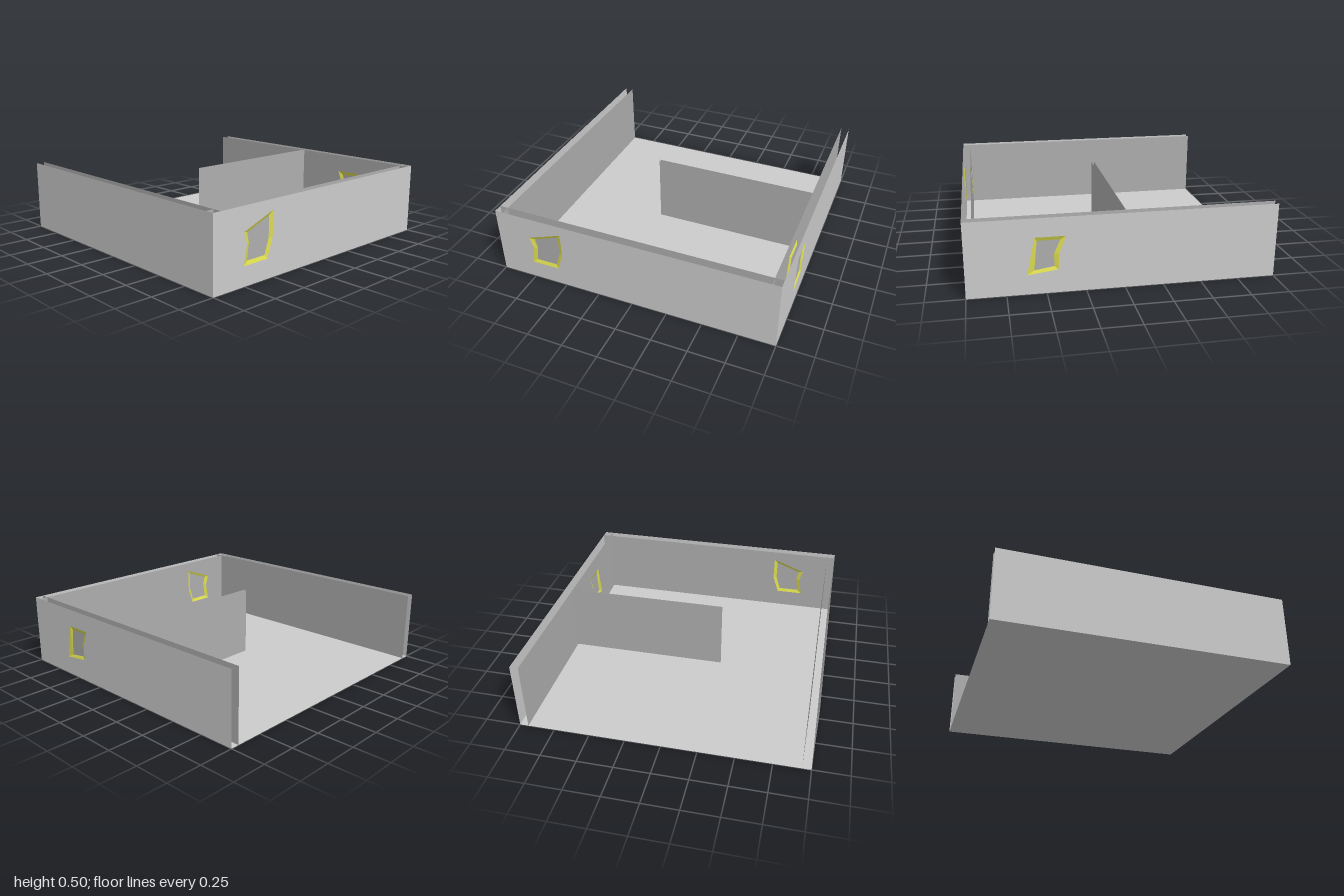
import * as THREE from 'three';

const V2 = (p) => new THREE.Vector2(p[0], p[1]);
const paint = (color) => new THREE.MeshStandardMaterial({ color, side: THREE.DoubleSide, flatShading: true });

const H = 0.5;      // wall height
const INNER = 0.94; // distance of the inner wall skin from the centre
const DEPTH = 0.01; // window recess

// Window outlines in wall coordinates (along the wall, up): rim and pane
const frontWindow = {
  rim: [[-0.755, 0.13], [-0.555, 0.13], [-0.51, 0.26], [-0.51, 0.43], [-0.755, 0.34], [-0.73, 0.26]],
  pane: [[-0.72, 0.155], [-0.57, 0.155], [-0.535, 0.26], [-0.535, 0.4], [-0.72, 0.33], [-0.705, 0.26]],
};
const sideWindow = {
  rim: [[-0.62, 0.13], [-0.425, 0.155], [-0.42, 0.26], [-0.375, 0.375], [-0.57, 0.375]],
  pane: [[-0.575, 0.155], [-0.45, 0.175], [-0.45, 0.26], [-0.41, 0.35], [-0.555, 0.35]],
};

export function createModel() {
  const model = new THREE.Group();
  const outerMat = paint(0xcccccc);
  const innerMat = paint(0xaeaeae);
  const frameMat = paint(0xdcdc50);

  const add = (parent, name, geometry, material) => {
    const mesh = new THREE.Mesh(geometry, material);
    mesh.name = name;
    parent.add(mesh);
    return mesh;
  };

  // Sloping band between the rim and the recessed pane
  const frameGeometry = ({ rim, pane }, depth) => {
    const pos = [];
    rim.forEach((a, i) => {
      const j = (i + 1) % rim.length;
      const A = [...a, 0], B = [...rim[j], 0];
      const C = [...pane[j], depth], D = [...pane[i], depth];
      const corners = depth < 0 ? [A, B, C, A, C, D] : [A, C, B, A, D, C];
      pos.push(...corners.flat());
    });
    const g = new THREE.BufferGeometry();
    g.setAttribute('position', new THREE.Float32BufferAttribute(pos, 3));
    g.computeVertexNormals();
    return g;
  };

  // One thin wall skin facing local +z, with an optional recessed window
  const wallSkin = (name, angle, distance, material, win, depth) => {
    const skin = new THREE.Group();
    skin.name = name;
    const shape = new THREE.Shape([[-1, 0], [1, 0], [1, H], [-1, H]].map(V2));
    if (win) shape.holes.push(new THREE.Path(win.rim.map(V2)));
    add(skin, name + 'Sheet', new THREE.ShapeGeometry(shape), material).position.z = distance;
    if (win) {
      add(skin, name + 'WindowFrame', frameGeometry(win, depth), frameMat).position.z = distance;
      const pane = new THREE.ShapeGeometry(new THREE.Shape(win.pane.map(V2)));
      add(skin, name + 'WindowPane', pane, innerMat).position.z = distance + depth;
    }
    skin.rotation.y = angle;
    model.add(skin);
  };

  // Floor
  const floor = add(model, 'floor', new THREE.PlaneGeometry(2, 2), outerMat);
  floor.rotation.x = -Math.PI / 2;

  // Double-skinned walls on three sides; the back is open
  const walls = [
    ['frontWall', 0, frontWindow],
    ['leftWall', Math.PI / 2, sideWindow],
    ['rightWall', -Math.PI / 2, null],
  ];
  for (const [name, angle, win] of walls) {
    wallSkin(name + 'Outer', angle, 1, outerMat, win, -DEPTH);
    wallSkin(name + 'Inner', angle, INNER, innerMat, win, DEPTH);
  }

  // Partition: two close sheets running in from the left wall
  const end = -0.225;
  for (const z of [0.01, -0.01]) {
    const sheet = add(model, 'partition', new THREE.PlaneGeometry(INNER - end, H), innerMat);
    sheet.position.set((INNER + end) / 2, H / 2, z);
    if (z < 0) sheet.rotation.y = Math.PI;
  }
  return model;
}
